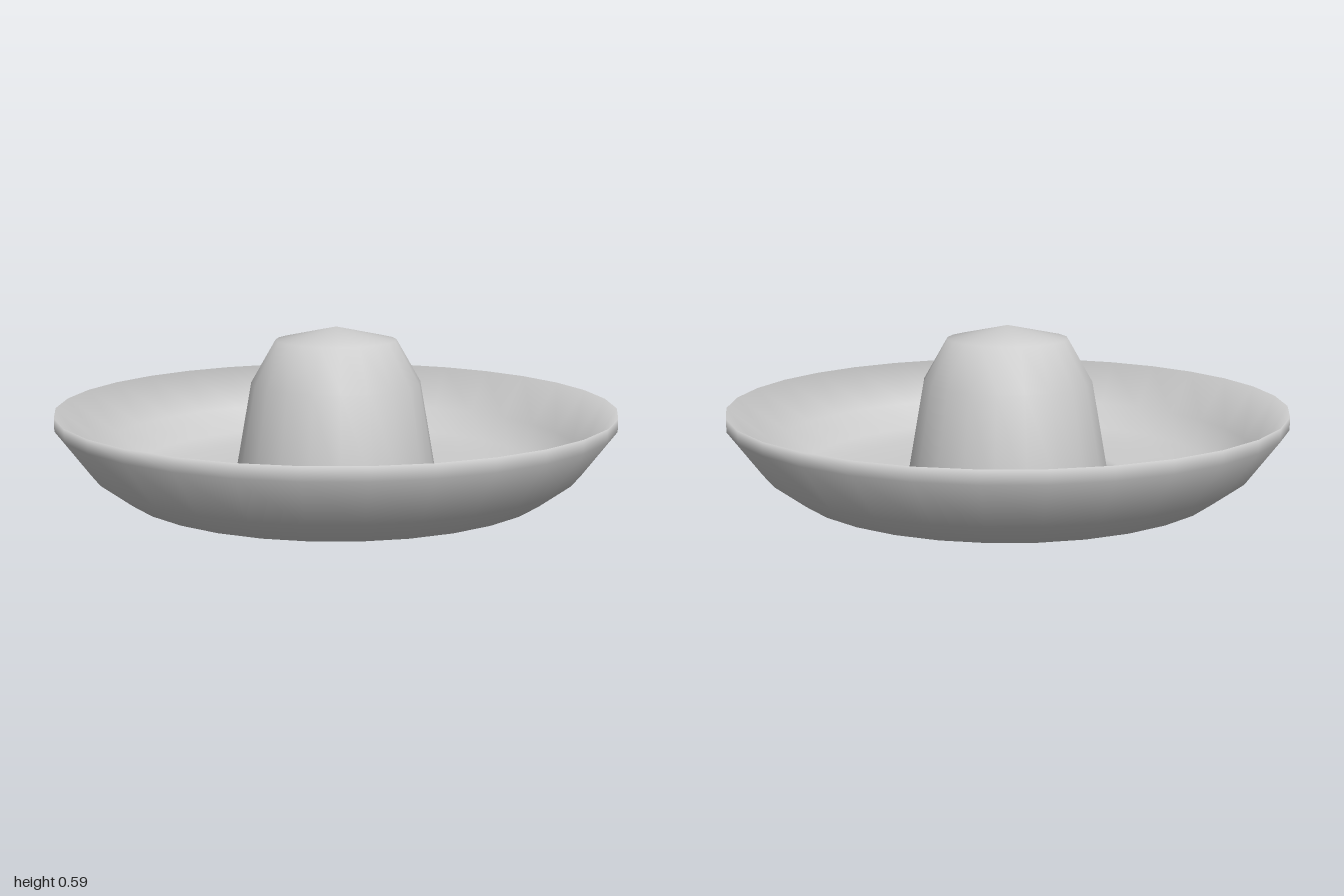
import * as THREE from 'three';

// Turns a profile (outward side on the right of travel) with evenly averaged smooth normals.
function turn(profile, sides, closed) {
  const pts = profile.map(([r, y]) => new THREE.Vector2(r, y));
  if (closed) pts.push(pts[0].clone());
  const n = pts.length;
  const segs = [];
  for (let j = 0; j < n - 1; j++) {
    const d = pts[j + 1].clone().sub(pts[j]).normalize();
    segs.push(new THREE.Vector2(d.y, -d.x));
  }
  const geometry = new THREE.LatheGeometry(pts, sides);
  const normals = geometry.attributes.normal;
  for (let i = 0; i <= sides; i++) {
    const a = (i / sides) * Math.PI * 2;
    for (let j = 0; j < n; j++) {
      const before = segs[j - 1] || (closed ? segs[n - 2] : segs[0]);
      const after = segs[j] || (closed ? segs[0] : segs[n - 2]);
      const m = before.clone().add(after).normalize();
      if (pts[j].x === 0) m.set(0, Math.sign(m.y));
      normals.setXYZ(i * n + j, m.x * Math.sin(a), m.y, m.x * Math.cos(a));
    }
  }
  return geometry;
}

export function createModel() {
  const hat = new THREE.Group();
  hat.name = 'wideBrimmedHat';
  const felt = new THREE.MeshStandardMaterial({ color: 0xcccccc });
  felt.name = 'grey felt';

  const add = (name, geometry) => {
    const mesh = new THREE.Mesh(geometry, felt);
    mesh.name = name;
    hat.add(mesh);
    return mesh;
  };

  // Upturned brim: a closed ring, underside first and then the inside of the bowl
  add('brim', turn([
    [0.36, 0.004], [0.43, 0.003], [0.65, 0.004], [0.775, 0.024], [0.885, 0.108], [1, 0.266],
    [1, 0.312], [0.885, 0.152], [0.775, 0.07], [0.65, 0.05], [0.43, 0.047], [0.36, 0.047],
  ], 32, true));

  // Tapered crown with a shallow pointed top
  add('crown', turn([
    [0.368, 0], [0.368, 0.046], [0.306, 0.392], [0.218, 0.545], [0, 0.592],
  ], 20, false));

  // Flat underside of the crown
  add('crownBase', new THREE.CircleGeometry(0.368, 20)).rotation.x = Math.PI / 2;

  return hat;
}
